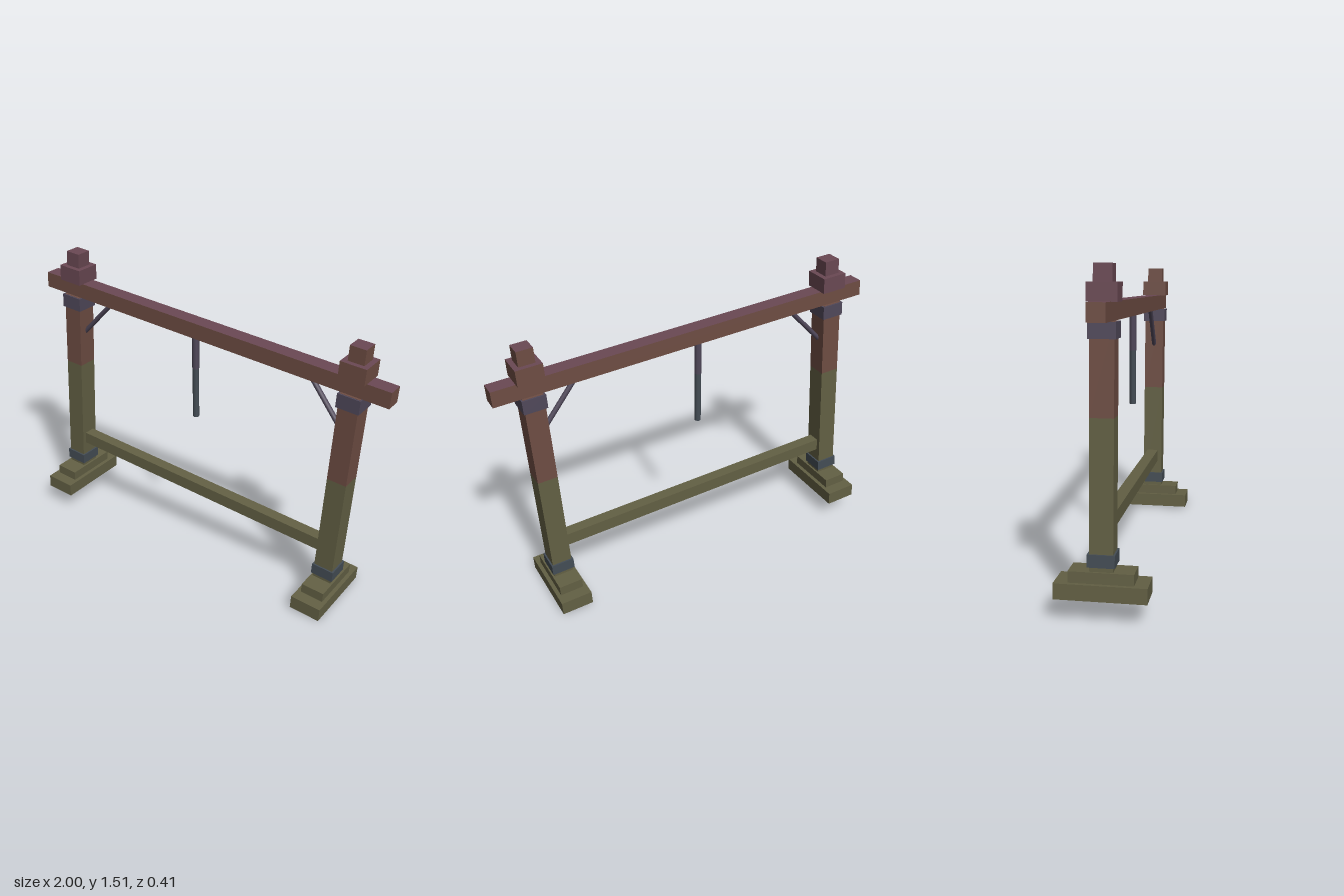
import * as THREE from 'three';

const mat = (name, color) => {
  const m = new THREE.MeshStandardMaterial({ color });
  m.name = name;
  return m;
};

export function createModel() {
  const olive = mat('mossy wood', 0x636044);
  const brown = mat('red brown wood', 0x6e4d43);
  const plum = mat('plum wood', 0x6a4853);
  const slate = mat('slate iron', 0x444d55);
  const mauve = mat('mauve iron', 0x50485a);
  // box faces: +x, -x, +y, -y, +z, -z
  const plumTop = [brown, brown, plum, brown, brown, brown];

  const model = new THREE.Group();
  model.name = 'gateFrame';

  // the whole frame leans as one piece
  const frame = new THREE.Group();
  frame.name = 'leaningFrame';
  frame.position.set(-0.072, 0.053, 0);
  frame.rotation.z = -0.0595;
  model.add(frame);

  // box standing between heights y0 and y1
  const block = (parent, name, material, x, y0, y1, w, d) => {
    const mesh = new THREE.Mesh(new THREE.BoxGeometry(w, y1 - y0, d), material);
    mesh.name = name;
    mesh.position.set(x, (y0 + y1) / 2, 0);
    parent.add(mesh);
  };

  // round rod between two points
  const rod = (parent, name, material, a, b, r) => {
    const dir = b.clone().sub(a);
    const mesh = new THREE.Mesh(new THREE.CylinderGeometry(r, r, dir.length(), 8), material);
    mesh.name = name;
    mesh.position.copy(a).add(b).multiplyScalar(0.5);
    mesh.quaternion.setFromUnitVectors(new THREE.Vector3(0, 1, 0), dir.normalize());
    parent.add(mesh);
  };
  const v = (x, y) => new THREE.Vector3(x, y, 0);

  for (const side of [-1, 1]) {
    const post = new THREE.Group();
    post.name = side > 0 ? 'leftPost' : 'rightPost';
    post.position.x = side * 0.815;
    frame.add(post);

    // stepped foot
    block(post, 'foot', olive, 0, 0, 0.07, 0.16, 0.405);
    block(post, 'footStep', olive, 0, 0.07, 0.12, 0.12, 0.285);

    // post in two tones, with iron collars
    const split = side > 0 ? 0.71 : 0.775;
    block(post, 'lowerPost', olive, 0, 0.12, split, 0.1, 0.104);
    block(post, 'upperPost', brown, 0, split, 1.171, 0.1, 0.104);
    block(post, 'lowerCollar', slate, 0, 0.14, 0.196, 0.116, 0.12);
    block(post, 'upperCollar', mauve, 0, 1.1, 1.17, 0.116, 0.12);

    // stepped cap above the beam
    const capMaterial = side > 0 ? plumTop : plum;
    block(post, 'cap', capMaterial, 0, 1.25, 1.33, 0.13, 0.13);
    block(post, 'capTop', capMaterial, 0, 1.33, 1.405, 0.08, 0.08);

    // diagonal brace
    rod(frame, 'brace', mauve, v(side * 0.775, 0.962), v(side * 0.59, 1.175), 0.0125);
  }

  // beam and rail
  block(frame, 'topBeam', plumTop, 0, 1.171, 1.251, 1.996, 0.08);
  block(frame, 'lowerRail', olive, 0, 0.268, 0.333, 1.54, 0.06);

  // pole hanging straight down from the beam
  rod(model, 'hangingPoleTop', mauve, v(-0.056, 1.045), v(-0.056, 1.233), 0.018);
  rod(model, 'hangingPoleBottom', slate, v(-0.056, 0.775), v(-0.056, 1.045), 0.0165);

  return model;
}
